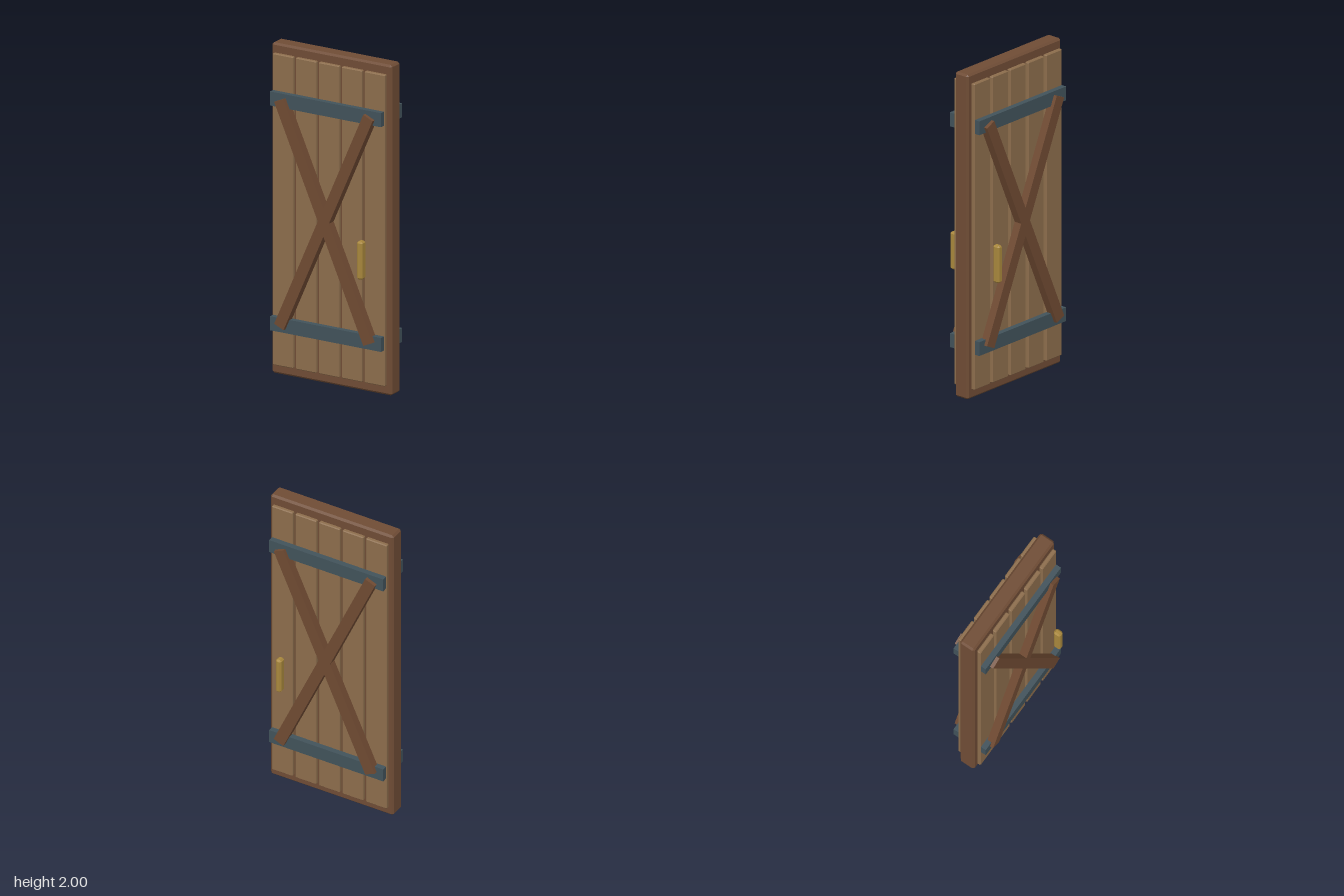
import * as THREE from 'three';
import { ConvexGeometry } from 'three/addons/geometries/ConvexGeometry.js';

const mat = (color) => new THREE.MeshStandardMaterial({ color, flatShading: true });
const frameWood = mat(0x6f4c35);
const plankWood = mat(0x8c6d4c);
const braceWood = mat(0x6f4a32);
const iron = mat(0x41525a);
const brass = mat(0xa8873c);

// Box with all twelve edges chamfered by c
function chamferBox(w, h, d, c) {
  const half = [w / 2, h / 2, d / 2];
  const points = [];
  for (const sx of [-1, 1]) for (const sy of [-1, 1]) for (const sz of [-1, 1]) {
    for (let axis = 0; axis < 3; axis++) {
      const p = half.map((v, i) => (i === axis ? v : v - c));
      points.push(new THREE.Vector3(p[0] * sx, p[1] * sy, p[2] * sz));
    }
  }
  return new ConvexGeometry(points);
}

function addPart(parent, name, geometry, material, x, y, z) {
  const mesh = new THREE.Mesh(geometry, material);
  mesh.name = name;
  mesh.position.set(x, y, z);
  parent.add(mesh);
  return mesh;
}

export function createModel() {
  const door = new THREE.Group();
  door.name = 'door';

  // Core slab
  addPart(door, 'slab', chamferBox(0.82, 2, 0.1, 0.012), frameWood, 0, 1, 0);

  const plank = chamferBox(0.14, 1.885, 0.026, 0.005);
  const batten = new THREE.BoxGeometry(0.76, 0.085, 0.034);
  const brace = new THREE.BoxGeometry(1.5, 0.07, 0.05);
  const handle = chamferBox(0.038, 0.23, 0.048, 0.01);

  // Both faces carry the same dressing, handle on the same edge
  for (const side of [1, -1]) {
    const face = new THREE.Group();
    face.name = side > 0 ? 'frontFace' : 'backFace';
    door.add(face);

    for (let i = -2; i <= 2; i++) {
      addPart(face, 'plank', plank, plankWood, i * 0.157, 1.003, side * 0.066);
    }
    for (const y of [0.322, 1.682]) {
      addPart(face, 'crossStrap', batten, iron, 0, y, side * 0.096);
    }
    // Crossed diagonal braces
    for (const tilt of [1, -1]) {
      const b = addPart(face, 'diagonalBrace', brace, braceWood, 0, 1.003, side * 0.11);
      b.rotation.z = tilt * THREE.MathUtils.degToRad(66);
    }
    addPart(face, 'handle', handle, brass, 0.278, 0.833, side * 0.164);
  }
  return door;
}
